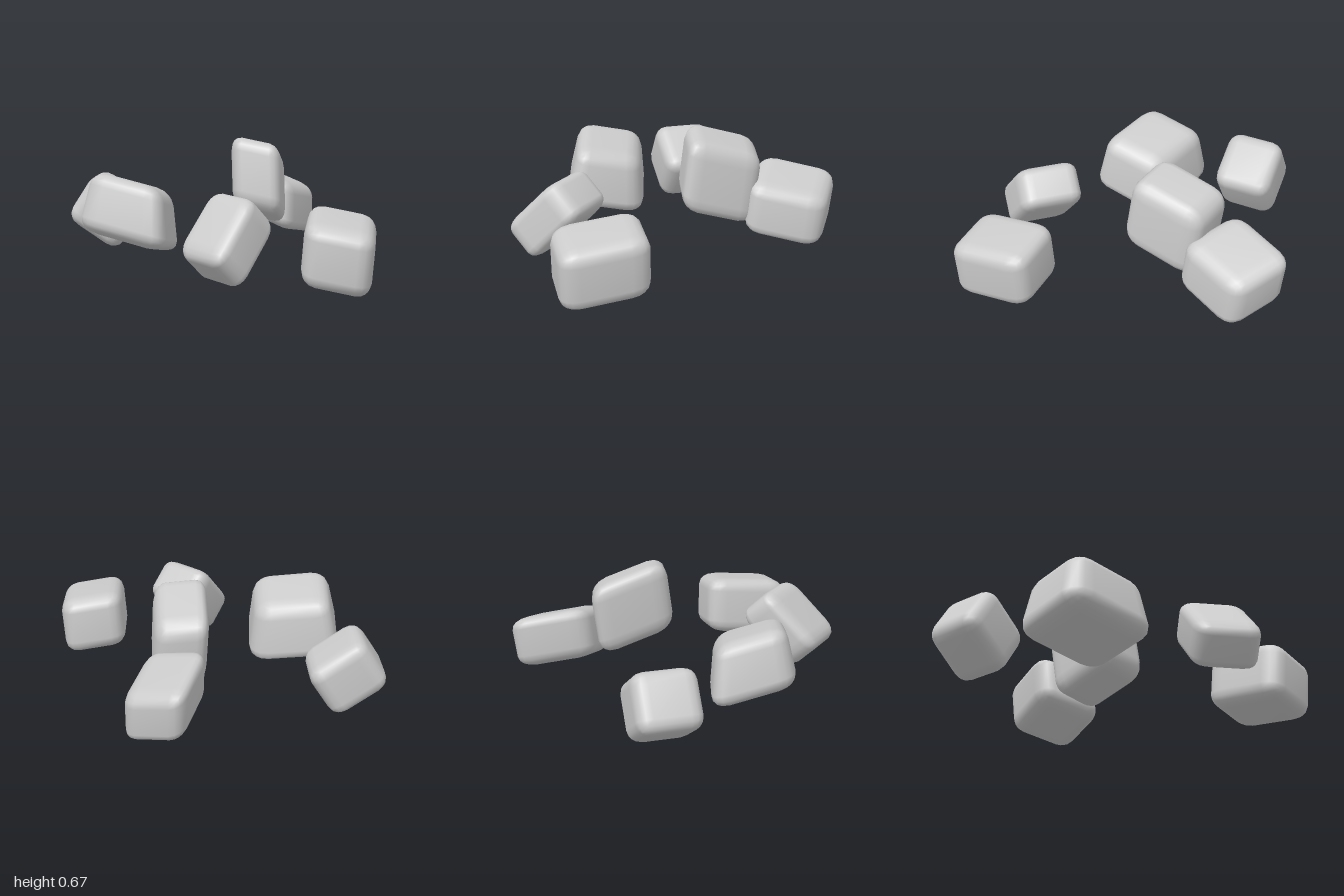
import * as THREE from 'three';
import { mergeVertices } from 'three/addons/utils/BufferGeometryUtils.js';
import { RoundedBoxGeometry } from 'three/addons/geometries/RoundedBoxGeometry.js';

const material = new THREE.MeshStandardMaterial({ color: 0xcccccc });

// A worn block: a rounded cube skewed along three half-axes;
// a positive taper narrows its top and widens its base.
function makeRock(name, centre, across, up, toward, taper = 0) {
  const rounded = new RoundedBoxGeometry(2, 2, 2, 2, 0.45);
  rounded.deleteAttribute('normal');
  rounded.deleteAttribute('uv');
  const geometry = mergeVertices(rounded, 1e-3);

  const position = geometry.attributes.position;
  for (let i = 0; i < position.count; i++) {
    const width = 1 - taper * position.getY(i);
    position.setX(i, position.getX(i) * width);
    position.setZ(i, position.getZ(i) * width);
  }

  const axes = [across, up, toward].map((axis) => new THREE.Vector3(...axis));
  geometry.applyMatrix4(new THREE.Matrix4().makeBasis(...axes));
  geometry.computeVertexNormals();

  const rock = new THREE.Mesh(geometry, material);
  rock.name = name;
  rock.position.set(...centre);
  return rock;
}

export function createModel() {
  const group = new THREE.Group();
  group.name = 'rocks';
  group.add(
    // Low boulder nearest the front
    makeRock('frontRock', [0.01, 0.193, 0.745],
      [0.168, 0.025, -0.156], [0.005, 0.16, 0.013], [0.114, -0.031, 0.128]),
    // Block rolled onto its edge
    makeRock('frontRightRock', [-0.44, 0.258, 0.425],
      [0.14, 0.143, -0.026], [-0.085, 0.085, 0], [-0.004, -0.003, 0.17]),
    // Broad boulder with a wide base
    makeRock('rightRock', [-0.53, 0.313, -0.255],
      [0.153, -0.043, -0.128], [0.015, 0.16, 0.001], [0.107, -0.043, 0.2], 0.12),
    // Block tipped forward at the back
    makeRock('backRock', [-0.31, 0.235, -0.78],
      [0.119, 0, -0.114], [0.06, 0.128, 0.057], [0.102, -0.096, 0.098]),
    // Tall, raised boulder
    makeRock('tallRock', [0.235, 0.423, -0.12],
      [0.145, -0.062, -0.14], [0.014, 0.194, -0.025], [0.077, -0.024, 0.118]),
    // Boulder leaning against the tall one
    makeRock('leftRock', [0.56, 0.26, -0.32],
      [0.19, -0.044, -0.081], [0.014, 0.139, -0.012], [0.035, -0.046, 0.17]),
  );
  return group;
}
